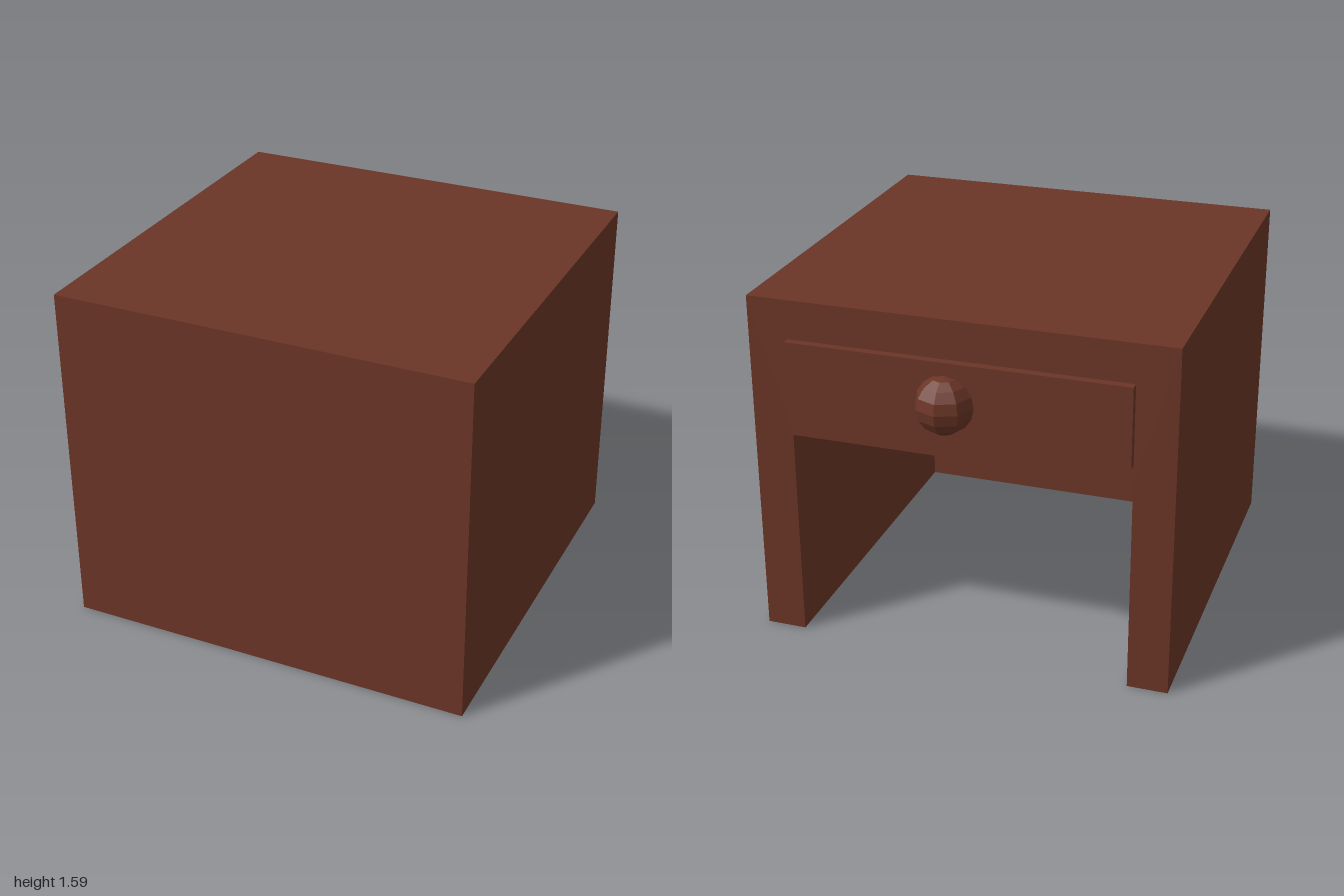
import * as THREE from 'three';

export function createModel() {
  const model = new THREE.Group();
  const wood = new THREE.MeshStandardMaterial({ color: 0x6b3526, flatShading: true });

  const halfW = 0.935, height = 1.59, backZ = -0.835, frontZ = 1;
  const wall = 0.18, openingTop = 0.97;
  const innerW = halfW - wall;

  function add(name, geometry, x, y, z) {
    const mesh = new THREE.Mesh(geometry, wood);
    mesh.name = name;
    mesh.position.set(x, y, z);
    model.add(mesh);
    return mesh;
  }

  // Arch-shaped carcass: thick top and two side walls in one extrusion
  const arch = new THREE.Shape([
    [-halfW, 0], [-innerW, 0], [-innerW, openingTop], [innerW, openingTop],
    [innerW, 0], [halfW, 0], [halfW, height], [-halfW, height],
  ].map(([x, y]) => new THREE.Vector2(x, y)));
  const depth = frontZ - backZ;
  add('topAndSides', new THREE.ExtrudeGeometry(arch, { depth, bevelEnabled: false }), 0, 0, backZ);

  // Panel closing the front of the knee space
  add('frontPanel', new THREE.BoxGeometry(innerW * 2, openingTop, wall),
    0, openingTop / 2, frontZ - wall / 2);

  // Drawer face on the open side
  const drawerDepth = 0.037;
  add('drawerFace', new THREE.BoxGeometry(1.51, 0.36, drawerDepth),
    0, 1.235, backZ - drawerDepth / 2);

  // Faceted round knob, half sunk into the drawer, slightly off centre
  add('drawerKnob', new THREE.SphereGeometry(0.128, 8, 8), 0.042, 1.23, backZ - drawerDepth);

  return model;
}
